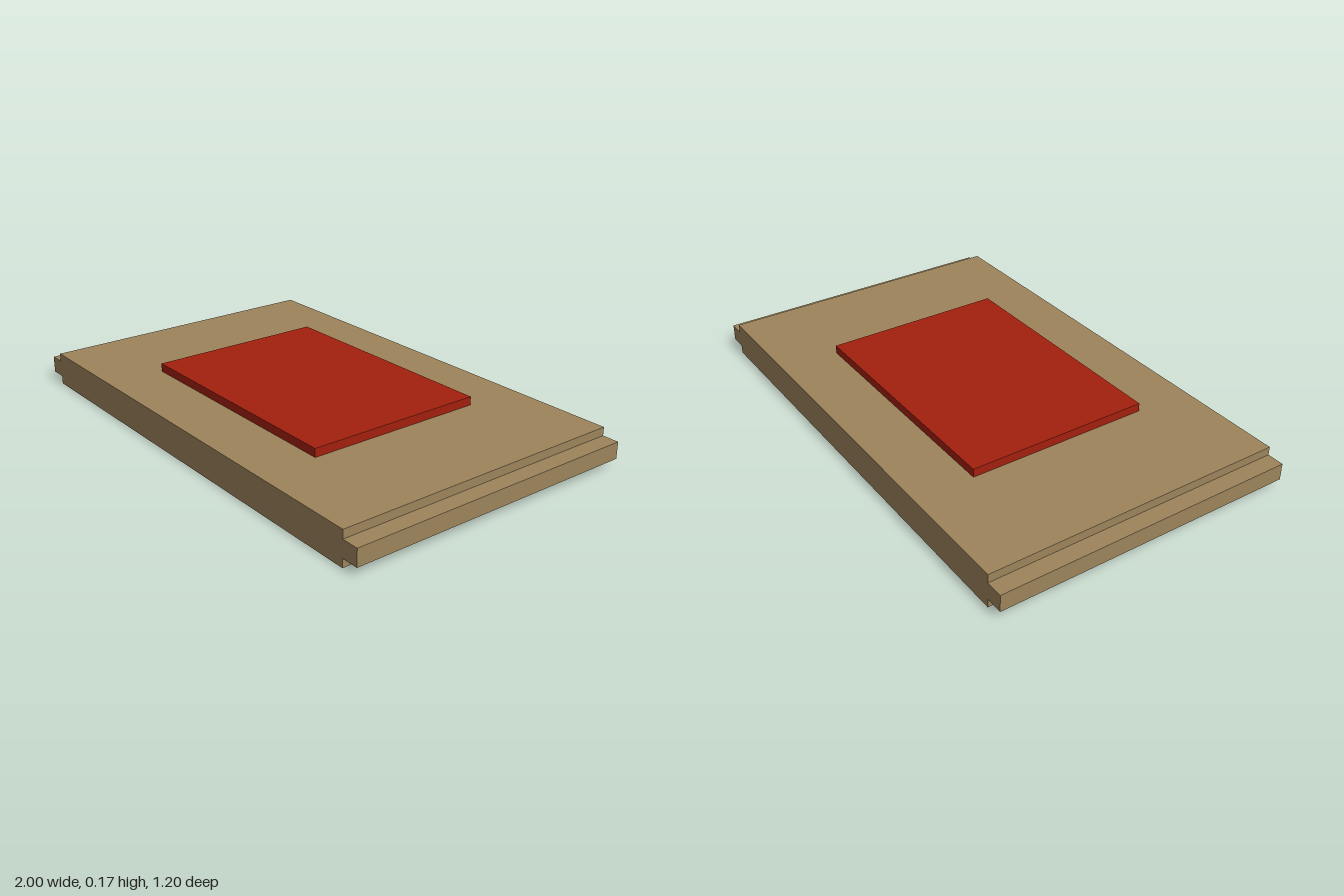
import * as THREE from 'three';

export function createModel() {
  const group = new THREE.Group();
  const wood = new THREE.MeshStandardMaterial({ name: 'tan wood', color: 0x9d845c });
  const red = new THREE.MeshStandardMaterial({ name: 'red', color: 0xa3200e });

  // Board with a tongue along each short edge, extruded front to back
  const halfWidth = 0.9333, height = 0.1333, depth = 1.2;
  const tongueBottom = 0.0333, tongueTop = 0.1;
  const rightSide = [
    [halfWidth, 0], [halfWidth, tongueBottom], [1, tongueBottom],
    [1, tongueTop], [halfWidth, tongueTop], [halfWidth, height],
  ];
  const leftSide = rightSide.map(([x, y]) => [-x, y]).reverse();
  const outline = [...rightSide, ...leftSide].map(([x, y]) => new THREE.Vector2(x, y));
  const boardGeometry = new THREE.ExtrudeGeometry(new THREE.Shape(outline), { depth, bevelEnabled: false });
  boardGeometry.translate(0, 0, -depth / 2);
  const board = new THREE.Mesh(boardGeometry, wood);
  board.name = 'board';

  // Raised panel resting on the board
  const panelHeight = 0.0333;
  const panel = new THREE.Mesh(new THREE.BoxGeometry(1, panelHeight, 0.7333), red);
  panel.name = 'raisedPanel';
  panel.position.y = height + panelHeight / 2;

  group.add(board, panel);
  return group;
}
